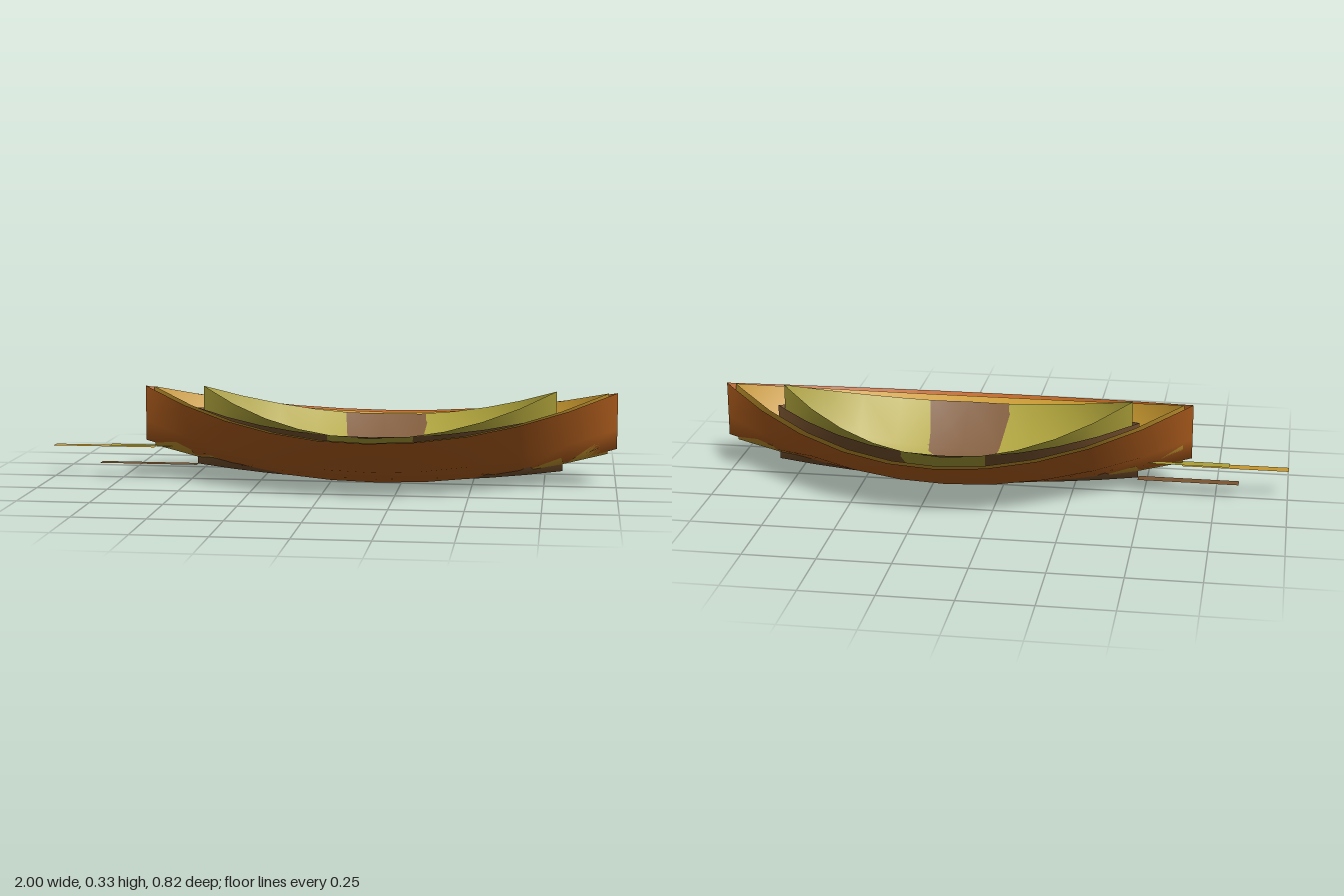
import * as THREE from 'three';

const CX = 0.168; // lengthwise middle of the nested hulls

// Open hull skin: parabolic plan, five points per station (rim, chine, keel, chine, rim)
function hullGeometry({ half, beam, rim, chine, keel }) {
  const N = 10, pos = [], idx = [];
  for (let i = 0; i <= N; i++) {
    const t = -1 + (2 * i) / N, q = t * t, w = beam * (1 - q);
    const y = ([mid, end]) => mid + (end - mid) * q;
    const section = [[w, rim], [w / 2, chine], [0, keel], [-w / 2, chine], [-w, rim]];
    for (const [z, line] of section) pos.push(CX + half * t, y(line), z);
  }
  for (let i = 0; i < N; i++) {
    for (let j = 0; j < 4; j++) {
      const a = i * 5 + j, b = a + 1, c = a + 5, d = a + 6;
      idx.push(a, b, c, b, d, c);
    }
  }
  const g = new THREE.BufferGeometry();
  g.setAttribute('position', new THREE.Float32BufferAttribute(pos, 3));
  g.setIndex(idx);
  g.computeVertexNormals();
  return g;
}

export function createModel() {
  const model = new THREE.Group();
  model.name = 'boat';
  const paint = (name, color) => {
    const m = new THREE.MeshStandardMaterial({ color, side: THREE.DoubleSide });
    m.name = name;
    return m;
  };

  // Each line is [height amidships, height at the ends]
  const layers = [
    { name: 'outerHull', mat: paint('rust orange', 0xb8621f), half: 0.832, beam: 0.41,
      rim: [0.205, 0.335], chine: [0.073, 0.21], keel: [0.003, 0.14] },
    { name: 'goldLining', mat: paint('gold', 0xc8982f), half: 0.8, beam: 0.375,
      rim: [0.202, 0.333], chine: [0.076, 0.2], keel: [0.008, 0.122], strip: [-1, -0.632, 0.116] },
    { name: 'oliveShell', mat: paint('olive', 0xaea23a), half: 0.622, beam: 0.293,
      rim: [0.205, 0.337], chine: [0.08, 0.2], keel: [0.012, 0.12], strip: [-0.795, -0.454, 0.12] },
    { name: 'brownShell', mat: paint('brown', 0x7c5530), half: 0.646, beam: 0.29,
      rim: [0.209, 0.26], chine: [0.0825, 0.14], keel: [0.0115, 0.058], strip: [-0.83, -0.478, 0.056] },
  ];

  for (const layer of layers) {
    const hull = new THREE.Mesh(hullGeometry(layer), layer.mat);
    hull.name = layer.name;
    model.add(hull);
    // Flat tongue running back from the stem
    if (layer.strip) {
      const [x0, x1, y] = layer.strip;
      const g = new THREE.PlaneGeometry(x1 - x0, 0.04).rotateX(-Math.PI / 2);
      const strip = new THREE.Mesh(g, layer.mat);
      strip.position.set((x0 + x1) / 2, y, 0);
      strip.name = layer.name + 'Tongue';
      model.add(strip);
    }
  }
  return model;
}
